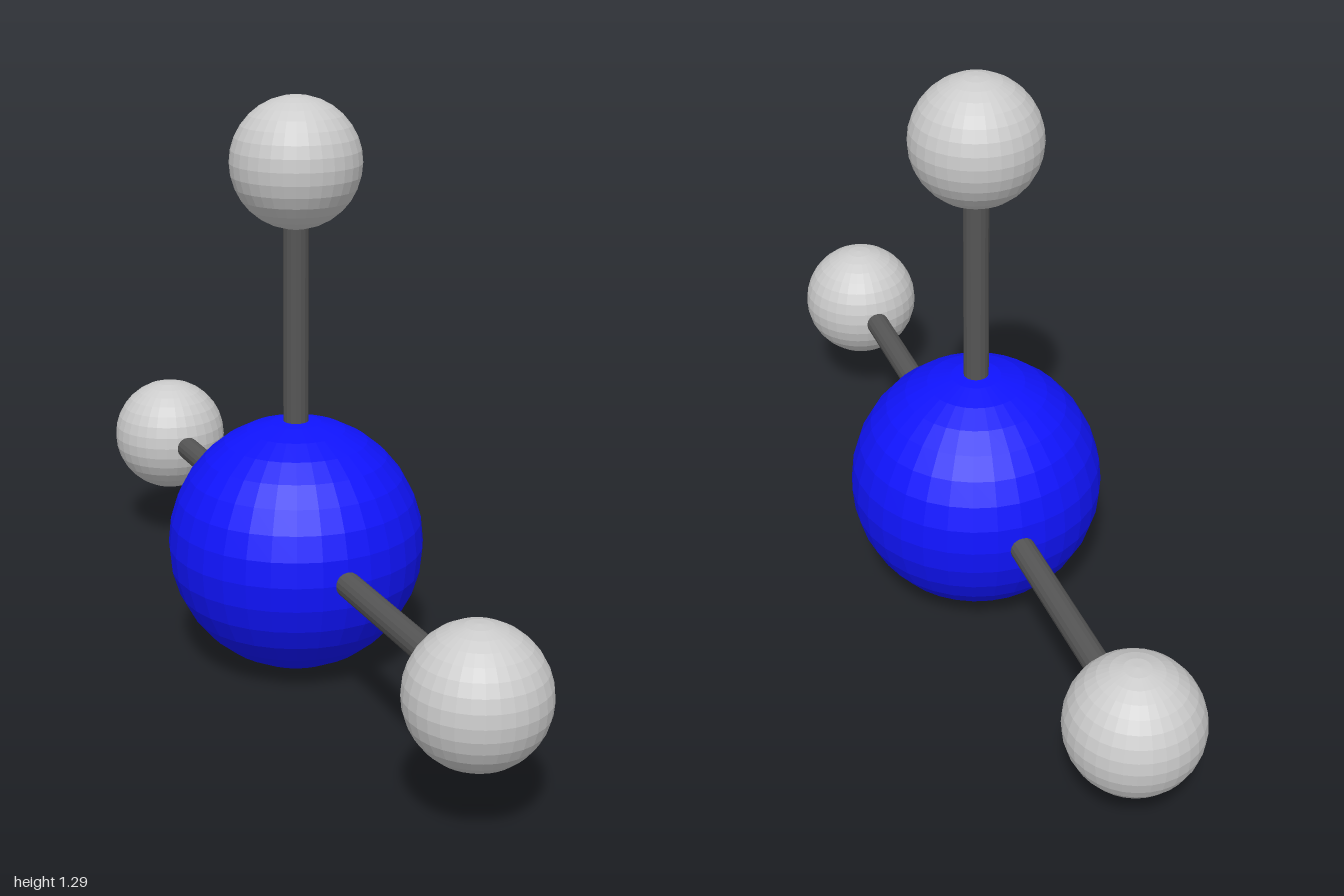
import * as THREE from 'three';

const CENTRE_R = 0.286, END_R = 0.143, ROD_R = 0.028, REACH = 0.857;

export function createModel() {
  const model = new THREE.Group();
  model.name = 'ballAndStickModel';

  const material = (color) => new THREE.MeshStandardMaterial({ color, flatShading: true });
  const blue = material(0x1014ff);
  const grey = material(0xcccccc);
  const dark = material(0x555555);

  const add = (parent, name, geometry, mat, position) => {
    const mesh = new THREE.Mesh(geometry, mat);
    mesh.name = name;
    mesh.position.copy(position);
    parent.add(mesh);
    return mesh;
  };

  // Large central ball resting on the ground
  const centre = new THREE.Vector3(0, CENTRE_R, 0);
  add(model, 'centreBall', new THREE.SphereGeometry(CENTRE_R, 32, 16), blue, centre);

  // Three arms, each a rod ending in a small ball
  const endBall = new THREE.SphereGeometry(END_R, 32, 16);
  const rodShape = new THREE.CylinderGeometry(ROD_R, ROD_R, REACH, 16);
  const up = new THREE.Vector3(0, 1, 0);
  const arms = { top: [0, 1, 0], front: [0, 0, 1], back: [0, 0, -1] };

  for (const [side, dir] of Object.entries(arms)) {
    const d = new THREE.Vector3(...dir);
    const arm = new THREE.Group();
    arm.name = side + 'Arm';
    arm.position.copy(centre);
    const rod = add(arm, side + 'Rod', rodShape, dark, d.clone().multiplyScalar(REACH / 2));
    rod.quaternion.setFromUnitVectors(up, d);
    add(arm, side + 'Ball', endBall, grey, d.clone().multiplyScalar(REACH));
    model.add(arm);
  }
  return model;
}
